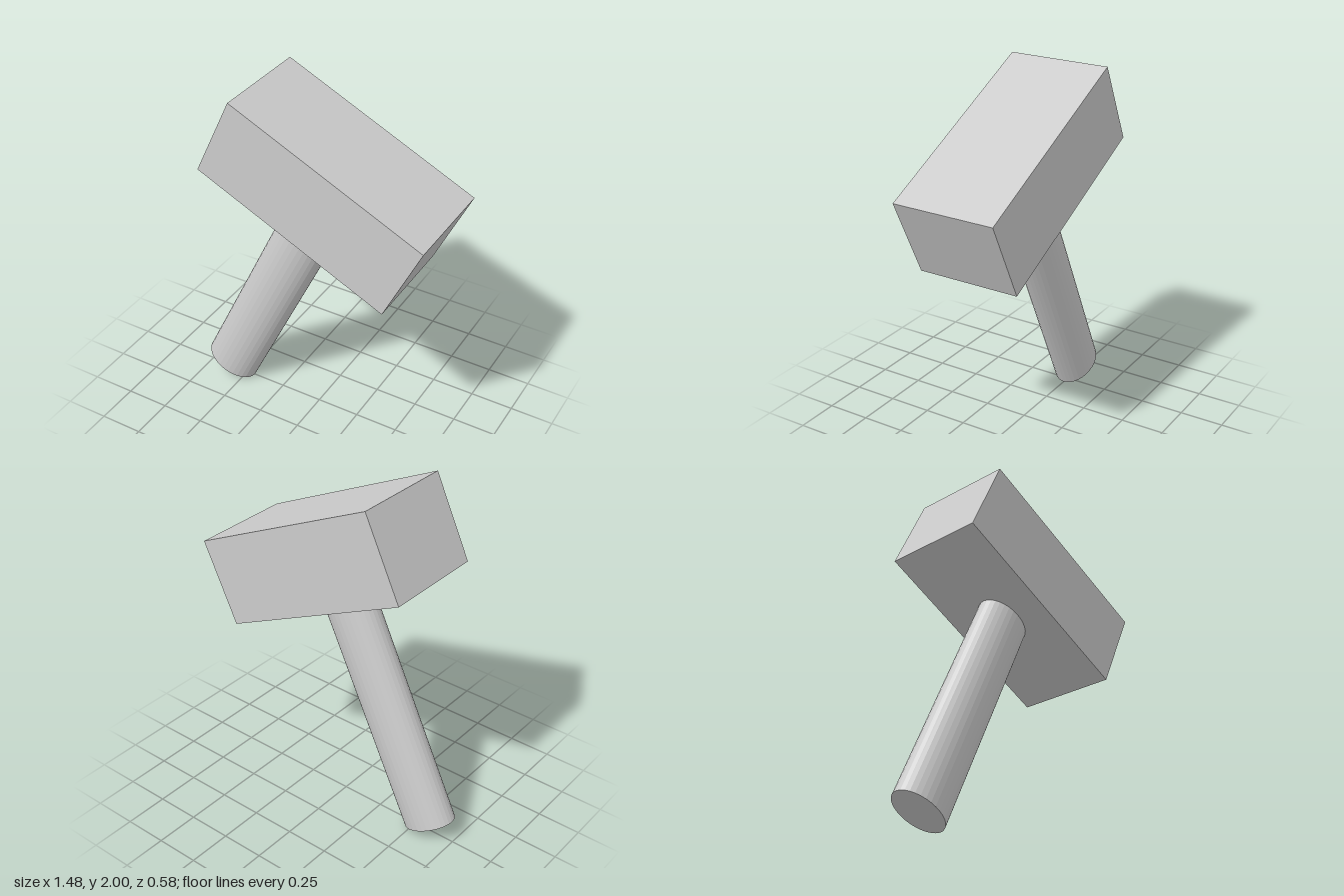
import * as THREE from 'three';

export function createModel() {
  const model = new THREE.Group();
  model.name = 'mallet';
  const material = new THREE.MeshStandardMaterial({ color: 0xcccccc, flatShading: true });
  const handleLength = 1.367, headHeight = 0.484;

  // Whole tool leans to its left, pivoting at the handle's foot
  const tilted = new THREE.Group();
  tilted.name = 'tiltedMallet';
  tilted.position.set(-0.595, 0.069, 0);
  tilted.rotation.z = THREE.MathUtils.degToRad(-25.3);
  model.add(tilted);

  // Oval handle, wider along the head than across it
  const handleGeometry = new THREE.CylinderGeometry(1, 1, handleLength, 32);
  handleGeometry.scale(0.16, 1, 0.115);
  const handle = new THREE.Mesh(handleGeometry, material);
  handle.name = 'handle';
  handle.position.y = handleLength / 2;
  tilted.add(handle);

  // Block head, centred on the handle
  const head = new THREE.Mesh(new THREE.BoxGeometry(1.2, headHeight, 0.58), material);
  head.name = 'head';
  head.position.y = handleLength + headHeight / 2;
  tilted.add(head);

  return model;
}
